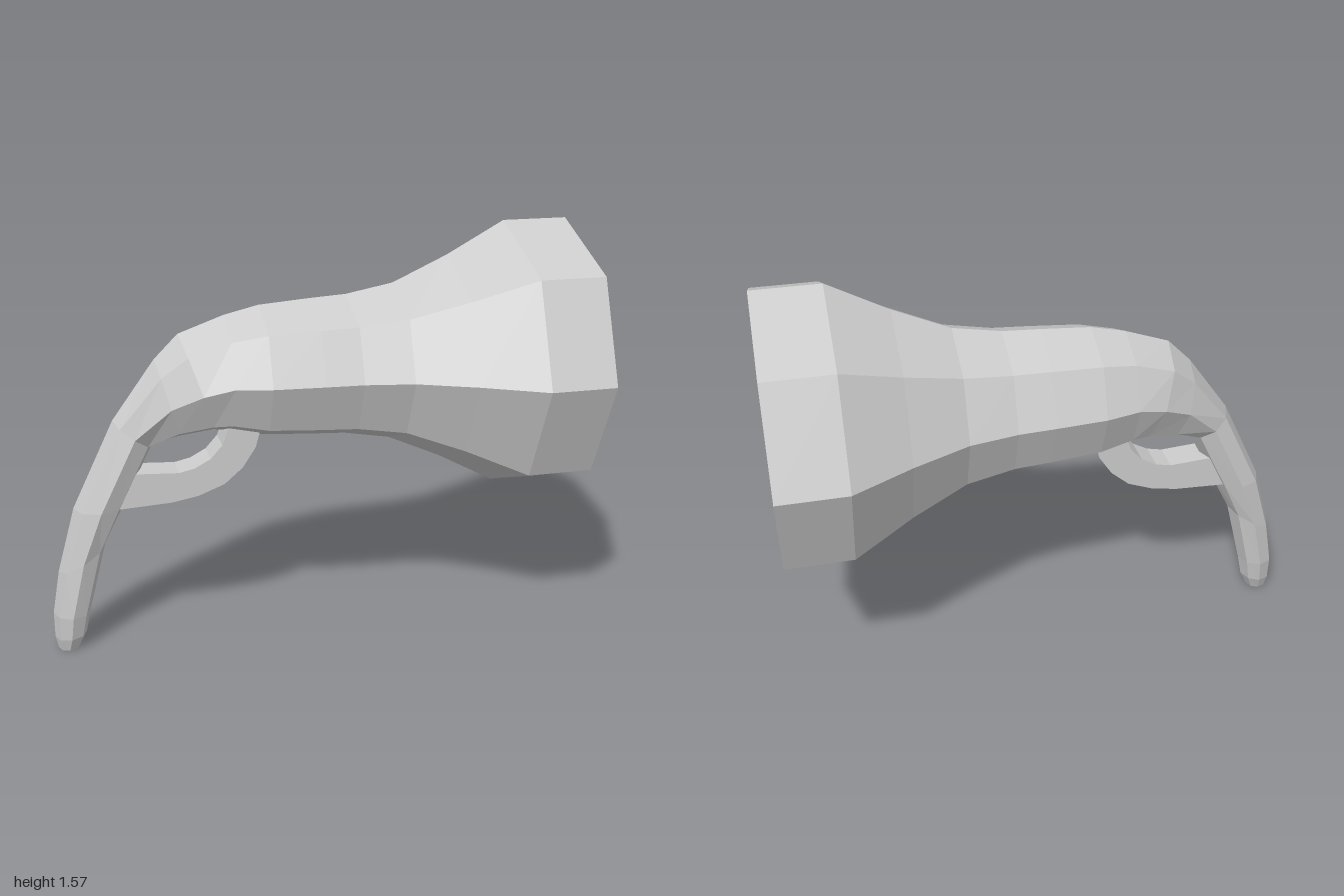
import * as THREE from 'three';

const SIDES = 8;
const grey = new THREE.MeshStandardMaterial({ color: 0xcccccc, flatShading: true });
grey.name = 'light grey';

// Octagonal loft; each ring is [topX, topY, bottomX, bottomY, halfWidth]
function loft(rings) {
  const point = ([tx, ty, bx, by, w], k) => {
    const a = (k % SIDES) / SIDES * Math.PI * 2;
    const c = Math.cos(a);
    return [(tx + bx) / 2 + (tx - bx) / 2 * c, (ty + by) / 2 + (ty - by) / 2 * c, w * Math.sin(a)];
  };
  const pos = [];
  for (let i = 0; i < rings.length - 1; i++) {
    const p = rings[i], q = rings[i + 1];
    for (let k = 0; k < SIDES; k++) {
      const a = point(p, k), b = point(q, k), c = point(q, k + 1), d = point(p, k + 1);
      if (q[4] > 0) pos.push(...a, ...b, ...c);
      if (p[4] > 0) pos.push(...a, ...c, ...d);
    }
  }
  const geo = new THREE.BufferGeometry();
  geo.setAttribute('position', new THREE.Float32BufferAttribute(pos, 3));
  geo.computeVertexNormals();
  return geo;
}

// Upright ring on the barrel axis
const AXIS = 1.05;
const upright = (x, r) => [x, AXIS + r, x, AXIS - r, r];

export function createModel() {
  const model = new THREE.Group();
  model.name = 'flaredHandset';
  const add = (name, geo) => {
    const mesh = new THREE.Mesh(geo, grey);
    mesh.name = name;
    model.add(mesh);
    return mesh;
  };

  // Recessed disc and rim of the wide end
  add('recessedFace', loft([upright(0.95, 0), upright(0.95, 0.45)]));
  add('rim', loft([upright(0.95, 0.45), upright(1, 0.45), upright(1, 0.52)]));

  // Flared barrel
  const neck = upright(-0.32, 0.22);
  add('barrel', loft([
    upright(1, 0.52), upright(0.75, 0.52), upright(0.53, 0.4), upright(0.32, 0.305),
    upright(0.14, 0.272), upright(0, 0.264), upright(-0.19, 0.25), neck,
  ]));

  // Curved grip tapering to a small closed tip
  add('handle', loft([
    neck,
    [-0.49, 1.21, -0.37, 0.835, 0.195],
    [-0.58, 1.12, -0.5, 0.82, 0.152],
    [-0.74, 0.9, -0.6, 0.795, 0.098],
    [-0.9, 0.57, -0.71, 0.575, 0.097],
    [-0.97, 0.32, -0.79, 0.42, 0.086],
    [-1, 0.15, -0.86, 0.15, 0.077],
    [-1, 0.05, -0.88, 0.06, 0.062],
    [-0.99, 0, -0.91, 0, 0.04],
    [-0.95, 0, -0.95, 0, 0],
  ]));

  // Trigger guard: flat curved band with ends sunk into handle and barrel
  const outline = [
    [-0.76, 0.57], [-0.54, 0.58], [-0.44, 0.597], [-0.34, 0.635], [-0.27, 0.695], [-0.22, 0.77], [-0.2, 0.84],
    [-0.19, 0.89], [-0.31, 0.91], [-0.32, 0.855], [-0.345, 0.79], [-0.39, 0.74], [-0.45, 0.708], [-0.51, 0.695],
    [-0.76, 0.71],
  ];
  const shape = new THREE.Shape(outline.map(([x, y]) => new THREE.Vector2(x, y)));
  const guard = new THREE.ExtrudeGeometry(shape, { depth: 0.12, bevelEnabled: false });
  guard.translate(0, 0, -0.06);
  add('triggerGuard', guard);

  return model;
}
